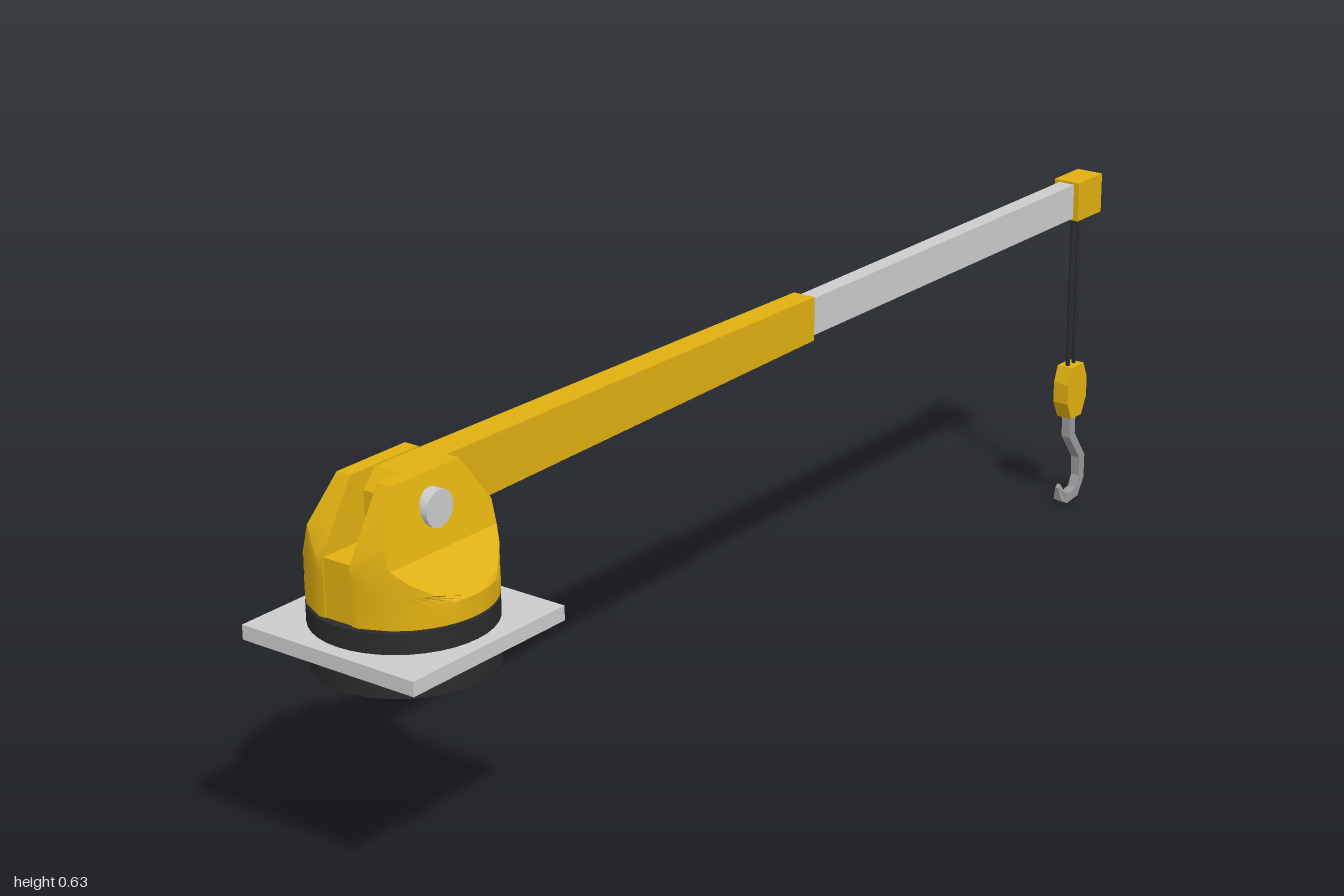
import * as THREE from 'three';
import { toCreasedNormals } from 'three/addons/utils/BufferGeometryUtils.js';

const BASE_Z = 0.84; // slewing axis
const R = 0.137;     // turret radius
const GAP = 0.025;   // half the slot between the cheeks

export function createModel() {
  const group = new THREE.Group();
  const mat = (color) => new THREE.MeshStandardMaterial({ color });
  const yellow = mat(0xe0b010), grey = mat(0xcccccc), steel = mat(0x999999), black = mat(0x2b2b2b);

  const add = (name, geometry, material, x = 0, y = 0, z = 0) => {
    const mesh = new THREE.Mesh(geometry, material);
    mesh.name = name;
    mesh.position.set(x, y, z);
    group.add(mesh);
    return mesh;
  };
  // Side profile of [z, y] points, extruded symmetrically across x
  const profile = (points, width) => {
    const shape = new THREE.Shape(points.map(([z, y]) => new THREE.Vector2(z, y)));
    const g = new THREE.ExtrudeGeometry(shape, { depth: width, bevelEnabled: false });
    return g.translate(0, 0, -width / 2).rotateY(-Math.PI / 2);
  };
  // Scale the width of each vertex by a rule of z and y
  const scaleWidth = (g, rule) => {
    const p = g.attributes.position;
    for (let i = 0; i < p.count; i++) p.setX(i, p.getX(i) * rule(p.getZ(i), p.getY(i)));
    g.computeVertexNormals();
    return g;
  };

  // Deck plate and slewing drum
  add('deckPlate', new THREE.BoxGeometry(0.32, 0.023, 0.32), grey, 0, 0.391, BASE_Z);
  add('slewingDrum', new THREE.CylinderGeometry(R, R, 0.098, 40), black, 0, 0.385, BASE_Z);

  // Turret: two cheeks with a floor between them
  for (const side of [1, -1]) {
    const cheek = add(side > 0 ? 'leftCheek' : 'rightCheek', cheekGeometry(), yellow, 0, 0, BASE_Z);
    if (side < 0) cheek.rotation.y = Math.PI;
  }
  add('turretFloor', new THREE.BoxGeometry(GAP * 2, 0.09, 0.26), yellow, 0, 0.483, BASE_Z);

  // Pivot pin through the cheeks
  const pin = new THREE.CylinderGeometry(0.028, 0.028, 0.15, 20).rotateZ(Math.PI / 2);
  add('pivotPin', pin, grey, 0, 0.582, BASE_Z);

  // Tapering outer boom with a chamfered heel
  const boom = profile([
    [-0.12, 0.547], [0.77, 0.537], [0.86, 0.537], [0.885, 0.565],
    [0.885, 0.6], [0.86, 0.628], [0.77, 0.628], [-0.12, 0.62],
  ], GAP * 2);
  add('outerBoom', scaleWidth(boom, (z) => (z > 0.77 ? 0.99 : 0.8 + 0.19 * (z + 0.12) / 0.89)), yellow);

  // Telescopic inner boom and its head
  add('innerBoom', new THREE.BoxGeometry(0.03, 0.062, 0.82), grey, 0, 0.584, -0.52);
  add('boomHead', new THREE.BoxGeometry(0.05, 0.07, 0.078), yellow, 0, 0.584, -0.952);

  // Hoist cables
  for (const dz of [-0.01, 0.01]) {
    add('hoistCable', new THREE.CylinderGeometry(0.004, 0.004, 0.32, 8), black, 0, 0.41, -0.948 + dz);
  }

  // Hook block
  add('hookBlock', profile([
    [-0.932, 0.168], [-0.917, 0.2], [-0.917, 0.237], [-0.928, 0.267],
    [-0.968, 0.267], [-0.981, 0.237], [-0.981, 0.2], [-0.966, 0.168],
  ], 0.03), yellow);

  // Hook, narrowing to its point
  const hook = profile([
    [-0.939, 0.18], [-0.939, 0.128], [-0.976, 0.078], [-0.978, 0.042], [-0.968, 0.022],
    [-0.945, 0.017], [-0.93, 0.024], [-0.921, 0.042], [-0.914, 0.036], [-0.919, 0.011],
    [-0.938, 0], [-0.975, 0.004], [-0.994, 0.034], [-0.994, 0.08], [-0.957, 0.132], [-0.957, 0.18],
  ], 0.017);
  add('hook', scaleWidth(hook, (z, y) => (z > -0.925 && y > 0.03 && y < 0.05 ? 0.35 : 1)), steel);

  return group;
}

// One cheek: a half-round foot trimmed by sloping sides, as stacked cross-sections
function cheekGeometry() {
  // [height, outer x limit, z limit]
  const levels = [
    [0.438, R, 0.132], [0.47, R, 0.132], [0.485, 0.121, 0.132], [0.505, 0.1, 0.132],
    [0.525, 0.08, 0.132], [0.56, 0.07, 0.113], [0.63, 0.05, 0.07],
  ];
  const steps = 10;
  const positions = [], index = [];
  for (const [y, xMax, zMax] of levels) {
    const corner = Math.min(zMax, Math.sqrt(Math.max(0, R * R - xMax * xMax)));
    const half = [];
    for (let i = 0; i <= steps; i++) {
      const z = zMax + (corner - zMax) * Math.sin((i / steps) * Math.PI / 2);
      half.push([Math.min(xMax, Math.sqrt(Math.max(0, R * R - z * z))), z]);
    }
    const ring = [[GAP, zMax], ...half, ...half.slice().reverse().map(([x, z]) => [x, -z]), [GAP, -zMax]];
    ring.forEach(([x, z]) => positions.push(x, y, z));
  }
  const n = 2 * (steps + 1) + 2;
  for (let i = 0; i < levels.length - 1; i++) {
    for (let j = 0; j < n; j++) {
      const a = i * n + j, b = i * n + (j + 1) % n;
      index.push(a, b, b + n, a, b + n, a + n);
    }
  }
  // Top and bottom caps
  const top = (levels.length - 1) * n;
  for (let j = 1; j < n - 1; j++) {
    index.push(top, top + j, top + j + 1, 0, j + 1, j);
  }
  const g = new THREE.BufferGeometry();
  g.setAttribute('position', new THREE.Float32BufferAttribute(positions, 3));
  g.setIndex(index);
  return toCreasedNormals(g, 0.5);
}
